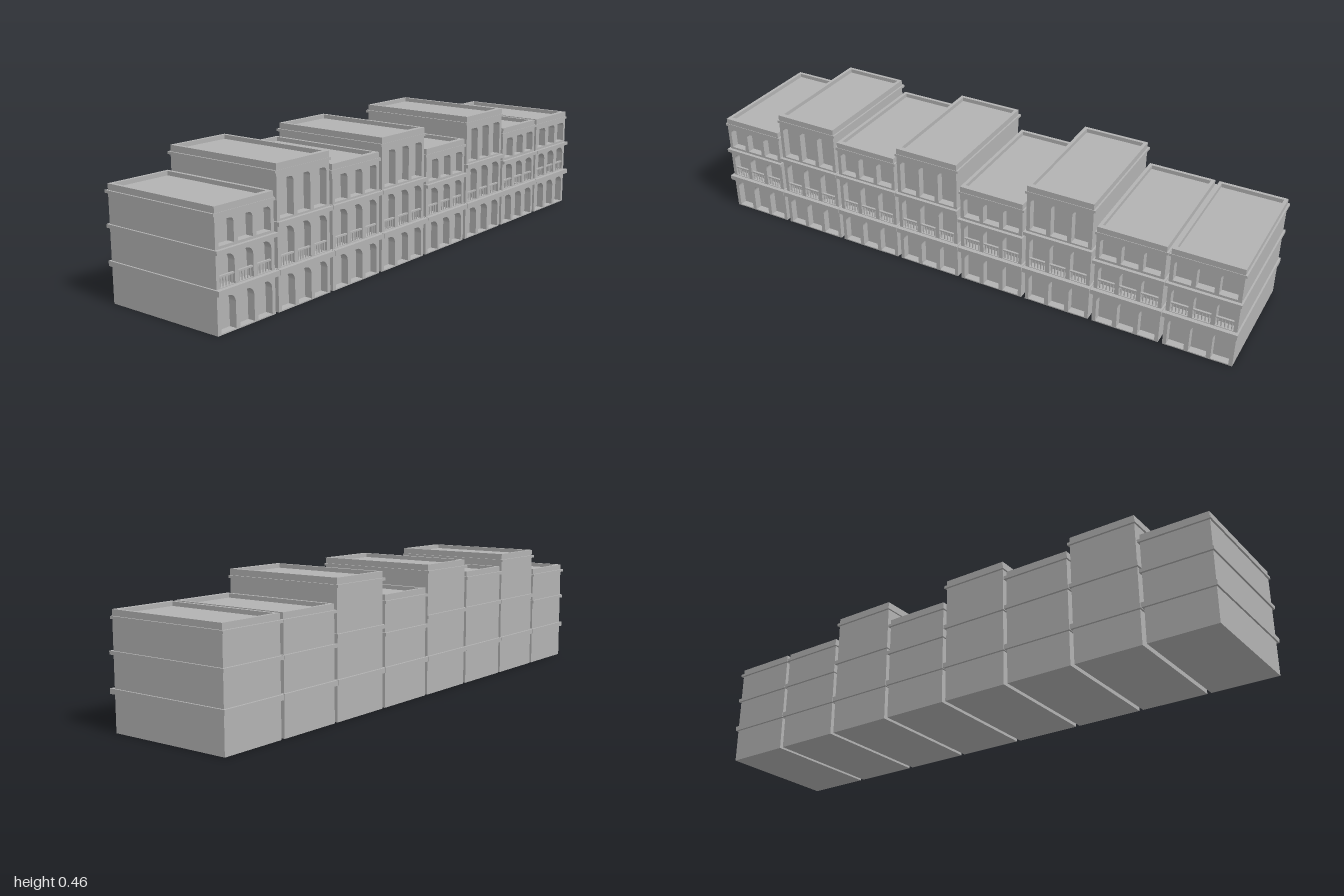
import * as THREE from 'three';

const stone = new THREE.MeshStandardMaterial({ color: 0xb2b2b2 });
stone.name = 'grey stone';

const PITCH = 0.2503, WALL = 0.236, LEDGE = 0.248;
const BACK = -0.229, FRONT = 0.222, CORE_FRONT = 0.195;

function add(parent, name, geometry, x = 0, y = 0, z = 0) {
  const mesh = new THREE.Mesh(geometry, stone);
  mesh.name = name;
  mesh.position.set(x, y, z);
  parent.add(mesh);
  return mesh;
}

// box given by its width, and its y and z ranges
function slab(parent, name, width, y0, y1, z0, z1, x = 0) {
  return add(parent, name, new THREE.BoxGeometry(width, y1 - y0, z1 - z0),
    x, (y0 + y1) / 2, (z0 + z1) / 2);
}

function rectangle(Type, x0, x1, y0, y1) {
  return new Type([[x0, y0], [x1, y0], [x1, y1], [x0, y1]].map(p => new THREE.Vector2(...p)));
}

// opening with rounded upper corners
function opening(x, width, y0, y1, r) {
  const a = x - width / 2, b = x + width / 2, p = new THREE.Path();
  p.moveTo(a, y0);
  p.lineTo(b, y0);
  p.lineTo(b, y1 - r);
  p.absarc(b - r, y1 - r, r, 0, Math.PI / 2, false);
  p.lineTo(a + r, y1);
  p.absarc(a + r, y1 - r, r, Math.PI / 2, Math.PI, false);
  p.lineTo(a, y0);
  return p;
}

const STYLES = {
  low: { top: 0.377, ledge: [0.24, 0.252], cornice: [0.348, 0.357], arch: 0.232, upper: [0.26, 0.334] },
  middle: { top: 0.41, ledge: [0.268, 0.281], cornice: [0.38, 0.391], arch: 0.258, upper: [0.287, 0.371] },
  tall: { top: 0.455, ledge: [0.268, 0.281], cornice: [0.425, 0.434], arch: 0.258, upper: [0.287, 0.407] }
};

function house(style) {
  const g = new THREE.Group();
  const s = STYLES[style], roofY = s.top - 0.014;
  const bays = [-0.075, 0, 0.075];

  // main block with its flat roof
  slab(g, 'mainBlock', WALL, 0, roofY, BACK, CORE_FRONT);

  // front wall pierced by three rows of openings
  const wall = rectangle(THREE.Shape, -WALL / 2, WALL / 2, 0, roofY);
  for (const x of bays) {
    wall.holes.push(opening(x, 0.06, 0.004, 0.11, 0.026));
    wall.holes.push(opening(x, 0.06, 0.139, s.arch, 0.026));
    wall.holes.push(opening(x, 0.06, s.upper[0], s.upper[1], 0.014));
  }
  add(g, 'arcadeWall', new THREE.ExtrudeGeometry(wall,
    { depth: FRONT - CORE_FRONT, bevelEnabled: false, curveSegments: 8 }), 0, 0, CORE_FRONT);

  // balustrade in each first-floor arch
  const baluster = new THREE.CylinderGeometry(0.0022, 0.0022, 0.032, 6);
  for (const x of bays) {
    slab(g, 'handrail', 0.06, 0.168, 0.173, 0.212, 0.22, x);
    for (let i = -2; i <= 2; i++) add(g, 'baluster', baluster, x + i * 0.0115, 0.153, 0.216);
  }

  // projecting bands and cornice
  slab(g, 'lowerLedge', LEDGE, 0.12, 0.137, -0.237, 0.237);
  slab(g, 'upperLedge', LEDGE, ...s.ledge, -0.237, 0.234);
  slab(g, 'cornice', LEDGE, ...s.cornice, -0.237, 0.224);

  // parapet rim around the roof
  const rim = rectangle(THREE.Shape, -WALL / 2, WALL / 2, -FRONT, -BACK);
  rim.holes.push(rectangle(THREE.Path, -WALL / 2 + 0.012, WALL / 2 - 0.012, -FRONT + 0.018, -BACK - 0.012));
  const rimGeometry = new THREE.ExtrudeGeometry(rim, { depth: s.top - roofY, bevelEnabled: false });
  rimGeometry.rotateX(-Math.PI / 2);
  add(g, 'parapet', rimGeometry, 0, roofY, 0);
  return g;
}

export function createModel() {
  const model = new THREE.Group();
  model.name = 'terraceRow';
  ['low', 'tall', 'middle', 'tall', 'low', 'tall', 'low', 'low'].forEach((style, i) => {
    const h = house(style);
    h.name = style + 'House';
    h.position.x = (i - 3.5) * PITCH;
    model.add(h);
  });
  return model;
}
